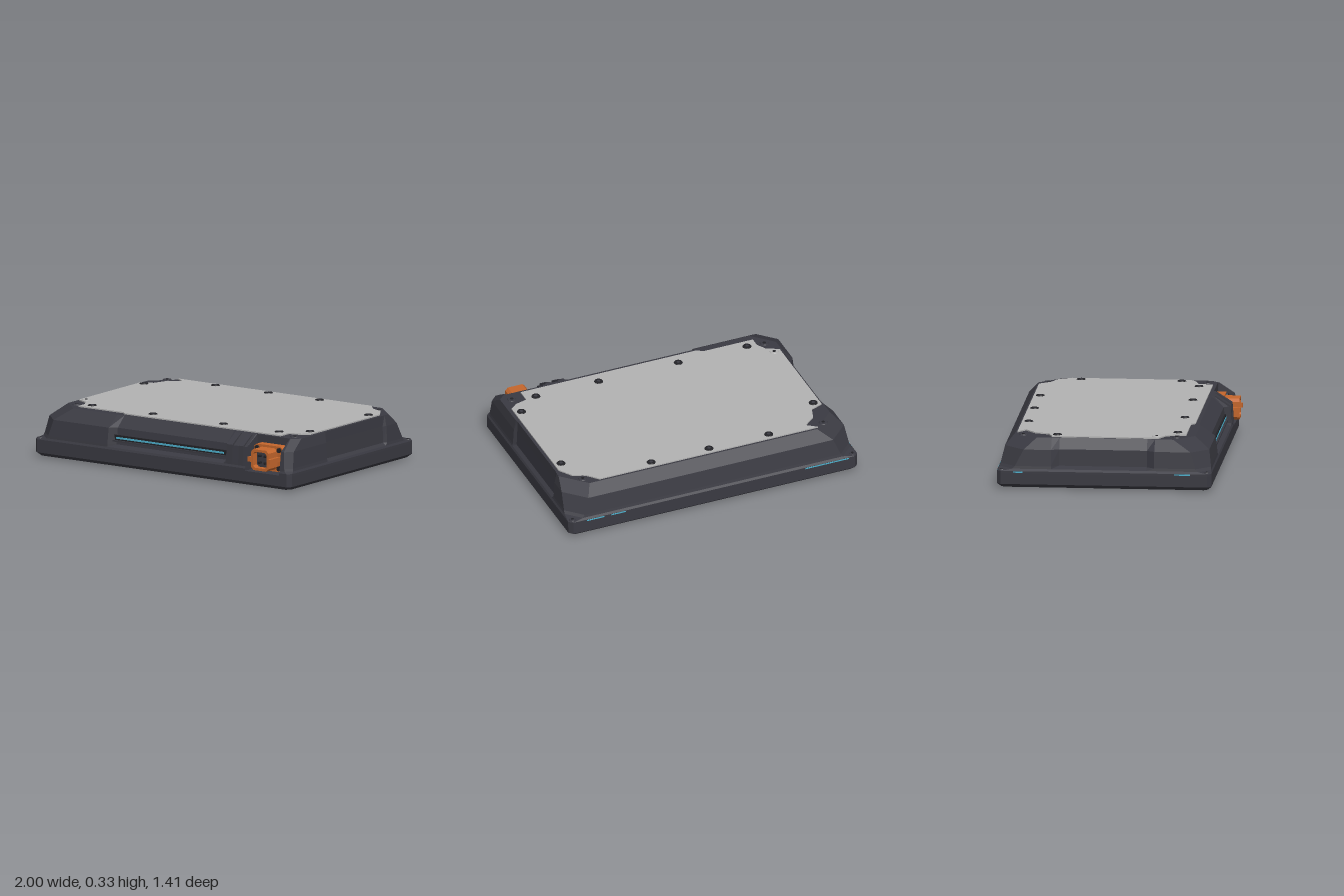
import * as THREE from 'three';

const mat = (name, color, side = THREE.FrontSide) =>
  Object.assign(new THREE.MeshStandardMaterial({ color, flatShading: true, side }), { name });

export function createModel() {
  const group = new THREE.Group();
  const dark = mat('charcoal casing', 0x3a3a42);
  const black = mat('near black', 0x222226);
  const grey = mat('light grey panel', 0xb2b2b2);
  const orange = mat('orange connector', 0xc4662c);
  const cyan = mat('cyan light', 0x4db0cc);

  const add = (name, geo, material, x = 0, y = 0, z = 0, parent = group) => {
    const m = new THREE.Mesh(geo, material);
    m.name = name;
    m.position.set(x, y, z);
    parent.add(m);
    return m;
  };
  const box = (name, w, h, d, material, x, y, z) =>
    add(name, new THREE.BoxGeometry(w, h, d), material, x, y, z);

  // Skin through stacked outlines of [x, z] points, capped at both ends
  const loft = (levels) => {
    const pos = [];
    const put = (l, i) => pos.push(l.pts[i][0], l.y, l.pts[i][1]);
    const n = levels[0].pts.length;
    for (let k = 0; k + 1 < levels.length; k++) {
      const a = levels[k], b = levels[k + 1];
      for (let i = 0; i < n; i++) {
        const j = (i + 1) % n;
        put(a, i); put(a, j); put(b, j);
        put(a, i); put(b, j); put(b, i);
      }
    }
    const cap = (l, flip) => {
      const flat = l.pts.map(([x, z]) => new THREE.Vector2(x, -z));
      for (const f of THREE.ShapeUtils.triangulateShape(flat, []))
        (flip ? [f[2], f[1], f[0]] : f).forEach((i) => put(l, i));
    };
    cap(levels[0], true);
    cap(levels[levels.length - 1], false);
    const g = new THREE.BufferGeometry();
    g.setAttribute('position', new THREE.Float32BufferAttribute(pos, 3));
    g.computeVertexNormals();
    return g;
  };

  // Casing outline at one height: bounds, corner cuts, side recess depth, connector pocket
  const outline = (y, x0, x1, z0, z1, cut, front = 0, side = 0, pocket = false) => {
    const [fl, fr, br, bl] = cut;
    const pz = pocket ? 0.535 : z1;
    return { y, pts: [
      [x0 + fl, z1], [-0.43, z1], [-0.38, z1 - front], [0.475, z1 - front], [0.5, z1],
      [0.65, z1], [0.655, pz], [0.91, pz], [0.915, z1],
      [x1 - fr, z1], [x1, z1 - fr],
      [x1, 0.24], [x1 - side * 0.5, 0.22], [x1 - side * 0.5, -0.4], [x1, -0.42],
      [x1, z0 + br], [x1 - br, z0], [x0 + bl, z0], [x0, z0 + bl],
      [x0, -0.36], [x0 + side, -0.31], [x0 + side, 0.25], [x0, 0.3],
      [x0, z1 - fl],
    ] };
  };
  const low = [0.025, 0.025, 0.025, 0.025];
  add('casing', loft([
    outline(0.008, -0.975, 0.975, -0.68, 0.642, low),
    outline(0.03, -0.998, 0.998, -0.705, 0.665, low),
    outline(0.1, -1, 1, -0.705, 0.665, low),
    outline(0.1, -1, 1, -0.705, 0.665, low, 0, 0, true),
    outline(0.115, -1, 1, -0.705, 0.665, low, 0, 0, true),
    outline(0.128, -0.985, 0.993, -0.695, 0.658, [0.08, 0.04, 0.09, 0.09], 0, 0, true),
    outline(0.145, -0.982, 0.99, -0.69, 0.656, [0.09, 0.04, 0.1, 0.1], 0.03, 0.035, true),
    outline(0.25, -0.97, 0.983, -0.665, 0.642, [0.11, 0.045, 0.13, 0.13], 0.03, 0.03, true),
    outline(0.318, -0.905, 0.97, -0.605, 0.545, [0.13, 0.05, 0.15, 0.15], 0.008, 0.008, true),
  ]), dark);

  // Flat panel cut from an [x, z] outline
  const panel = (pts, h) => {
    const s = new THREE.Shape(pts.map(([x, z]) => new THREE.Vector2(x, -z)));
    return new THREE.ExtrudeGeometry(s, { depth: h, bevelEnabled: false }).rotateX(-Math.PI / 2);
  };
  const topPts = [
    [-0.775, 0.487], [-0.43, 0.487], [-0.4, 0.513], [0.82, 0.513], [0.82, 0.42], [0.9, 0.4],
    [0.947, 0.36], [0.947, -0.4], [0.89, -0.487], [0.81, -0.52], [0.745, -0.593], [-0.765, -0.593],
    [-0.7, -0.545], [-0.78, -0.48], [-0.81, -0.39], [-0.89, -0.36], [-0.89, 0.32], [-0.81, 0.36],
    [-0.775, 0.42],
  ];
  add('topPanel', panel(topPts, 0.01), grey, 0, 0.316, 0);
  const bottomPts = [
    [-0.72, 0.615], [0.72, 0.615], [0.76, 0.53], [0.86, 0.5], [0.945, 0.42],
    [0.945, -0.44], [0.86, -0.5], [0.76, -0.54], [0.7, -0.63],
    [-0.7, -0.63], [-0.76, -0.54], [-0.86, -0.5], [-0.945, -0.44],
    [-0.945, 0.42], [-0.86, 0.5], [-0.76, 0.53],
  ];
  add('bottomPanel', panel(bottomPts, 0.008), grey, 0, 0.003, 0);

  // Screws
  const head = new THREE.CylinderGeometry(0.026, 0.03, 0.006, 12);
  const socket = new THREE.CylinderGeometry(0.012, 0.012, 0.002, 6);
  const screw = (name, x, y, z, capMat, dir = 1, s = 1) => {
    const g = new THREE.Group();
    g.name = name;
    add('screwHead', head, capMat, 0, 0, 0, g);
    add('screwSocket', socket, capMat === black ? dark : black, 0, 0.003, 0, g);
    g.position.set(x, y, z);
    g.scale.set(s, 1, s);
    if (dir < 0) g.rotation.x = Math.PI;
    group.add(g);
  };
  const topScrews = [
    [-0.443, -0.55], [-0.03, -0.55], [0.37, -0.55], [-0.845, -0.33], [0.903, -0.337],
    [0.903, 0.305], [-0.71, 0.428], [-0.235, 0.43], [0.316, 0.43], [0.75, 0.43],
  ];
  topScrews.forEach(([x, z]) => screw('panelScrew', x, 0.328, z, black));
  screw('panelScrew', -0.845, 0.328, 0.305, grey);
  [[-0.82, -0.55], [0.84, -0.54], [-0.83, 0.43], [0.9, 0.47]]
    .forEach(([x, z]) => screw('cornerScrew', x, 0.32, z, dark));
  [[-0.968, -0.675], [0.968, -0.675], [-0.968, 0.635]]
    .forEach(([x, z]) => screw('ledgeScrew', x, 0.122, z, dark, 1, 0.8));
  for (const sx of [-1, 1]) {
    for (const [x, z] of [[0.85, 0.54], [0.9, 0.38], [0.9, -0.38], [0.82, -0.56], [0.32, -0.59], [0.32, 0.58]])
      screw('undersideScrew', sx * x, 0.004, z, black, -1, 0.7);
  }

  // Upright ribs on the front, sloped like the casing
  const ribShape = new THREE.Shape([[0.5, 0.13], [0.664, 0.13], [0.655, 0.255], [0.56, 0.316], [0.5, 0.316]]
    .map((p) => new THREE.Vector2(...p)));
  for (const [x, w] of [[0.545, 0.045], [0.63, 0.035]]) {
    const g = new THREE.ExtrudeGeometry(ribShape, { depth: w, bevelEnabled: false });
    add('frontRib', g.rotateY(-Math.PI / 2), dark, x, 0, 0);
  }

  // Front light bar in a dark slot
  box('lightSlot', 0.88, 0.035, 0.012, black, 0.04, 0.188, 0.622);
  box('lightBar', 0.84, 0.012, 0.008, cyan, 0.04, 0.188, 0.627);
  box('slotLip', 0.88, 0.01, 0.028, dark, 0.04, 0.168, 0.626);

  // Thin light dashes along the back and left seams
  for (const [x, w] of [[0.82, 0.12], [0.66, 0.1], [-0.78, 0.3]])
    box('backLight', w, 0.008, 0.006, cyan, x, 0.109, -0.704);
  for (const [z, w] of [[-0.57, 0.06], [0.48, 0.1]])
    box('sideLight', 0.006, 0.008, w, cyan, -0.999, 0.109, z);

  // Connector: flange, hollow square socket, pins, lugs and bolts
  const cx = 0.783, cy = 0.187;
  const square = (Type, r, c) => new Type([
    [-r + c, -r], [r - c, -r], [r, -r + c], [r, r - c], [r - c, r], [-r + c, r], [-r, r - c], [-r, -r + c],
  ].map((p) => new THREE.Vector2(...p)));
  const flange = square(THREE.Shape, 0.112, 0.02);
  add('connectorFlange', new THREE.ExtrudeGeometry(flange, { depth: 0.06, bevelEnabled: false })
    .scale(1, 0.74, 1), orange, cx, cy, 0.533);
  const ring = square(THREE.Shape, 0.068, 0.018);
  ring.holes.push(square(THREE.Path, 0.052, 0.014));
  add('connectorSocket', new THREE.ExtrudeGeometry(ring, { depth: 0.1, bevelEnabled: false }),
    orange, cx, cy, 0.59);
  box('socketFace', 0.106, 0.106, 0.05, dark, cx, cy, 0.62);
  const rod = new THREE.CylinderGeometry(1, 1, 1, 10).rotateX(Math.PI / 2);
  const stud = (name, r, d, material, x, y, z) =>
    add(name, rod, material, x, y, z).scale.set(r, r, d);
  for (const sx of [-1, 1]) {
    box('connectorLug', 0.024, 0.03, 0.11, orange, cx + sx * 0.077, cy, 0.645);
    for (const sy of [-1, 1]) {
      stud('socketPin', 0.008, 0.03, black, cx + sx * 0.022, cy + sy * 0.022, 0.655);
      stud('flangeBolt', 0.016, 0.016, black, cx + sx * 0.086, cy + sy * 0.059, 0.598);
    }
  }
  return group;
}
